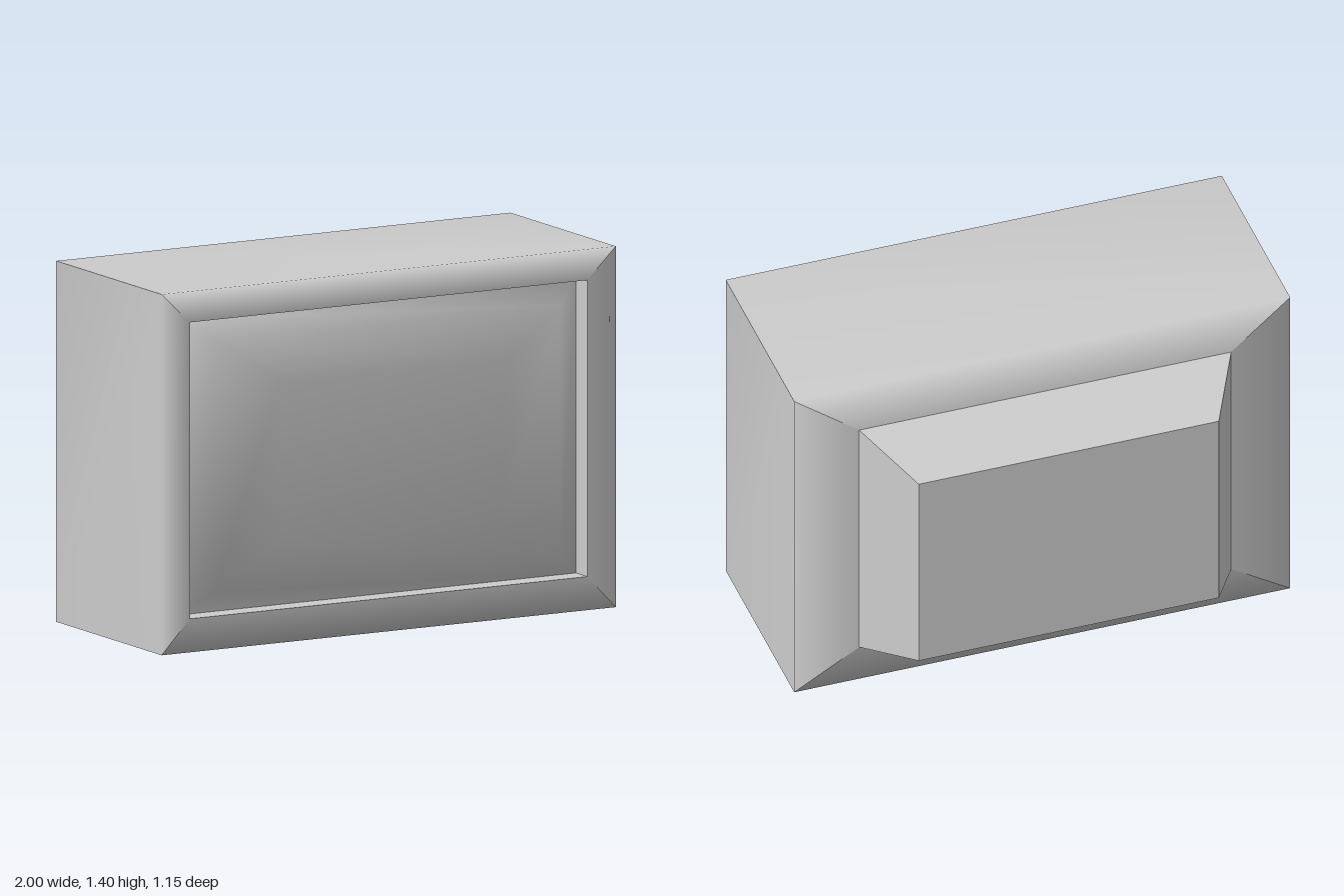
import * as THREE from 'three';

// Rectangular cross-section: half width, bottom, top, depth position
function rect(hw, y0, y1, z) {
  return [[-hw, y0, z], [hw, y0, z], [hw, y1, z], [-hw, y1, z]];
}

function build(points, index, smooth) {
  let geo = new THREE.BufferGeometry();
  geo.setAttribute('position', new THREE.Float32BufferAttribute(points.flat(), 3));
  geo.setIndex(index);
  if (!smooth) geo = geo.toNonIndexed();
  geo.computeVertexNormals();
  return geo;
}

// One side (bottom, right, top or left) of a stack of rectangles, running outwards from the first
function strip(loops, k, smooth) {
  const points = loops.flatMap(l => [l[k], l[(k + 1) % 4]]);
  const index = [];
  for (let j = 0; j < loops.length - 1; j++) {
    const a = 2 * j;
    index.push(a, a + 2, a + 3, a, a + 3, a + 1);
  }
  return build(points, index, smooth);
}

export function createModel() {
  const model = new THREE.Group();
  const grey = new THREE.MeshStandardMaterial({ color: 0xcccccc });
  grey.name = 'casing grey';

  const add = (name, geo, parent = model) => {
    const mesh = new THREE.Mesh(geo, grey);
    mesh.name = name;
    parent.add(mesh);
  };
  const addSides = (name, loops, smooth) => {
    const group = new THREE.Group();
    group.name = name;
    ['Bottom', 'Left', 'Top', 'Right'].forEach((side, k) => add(name + side, strip(loops, k, smooth), group));
    model.add(group);
  };

  const screenEdge = rect(0.875, 0.13, 1.28, 0.45);
  const bezelInner = rect(0.875, 0.13, 1.28, 0.538);
  const humpFront = rect(0.75, 0.18, 1.225, -0.3);
  const humpBack = rect(0.605, 0.28, 1.13, -0.577);

  // Casing: bezel, side and back shoulder shade smoothly into each other, with sharp mitred corners
  addSides('casing', [bezelInner, rect(1, 0, 1.4, 0.538), rect(1, 0, 1.4, -0.265), humpFront], true);

  // Recess around the screen
  addSides('recess', [screenEdge, bezelInner], false);

  // Rear tube housing
  addSides('rearHousing', [humpFront, humpBack], false);
  add('rearPanel', build(humpBack, [0, 2, 1, 0, 3, 2], false));

  // Bulging screen: flat middle with sloping rings, smooth throughout
  const screen = [rect(0.495, 0.39, 1.02, 0.578), rect(0.76, 0.22, 1.19, 0.53), screenEdge];
  const index = [0, 1, 2, 0, 2, 3];
  for (let j = 0; j < 2; j++) {
    for (let k = 0; k < 4; k++) {
      const a = 4 * j + k, b = 4 * j + (k + 1) % 4;
      index.push(a, a + 4, b + 4, a, b + 4, b);
    }
  }
  add('screen', build(screen.flat(), index, true));

  return model;
}
